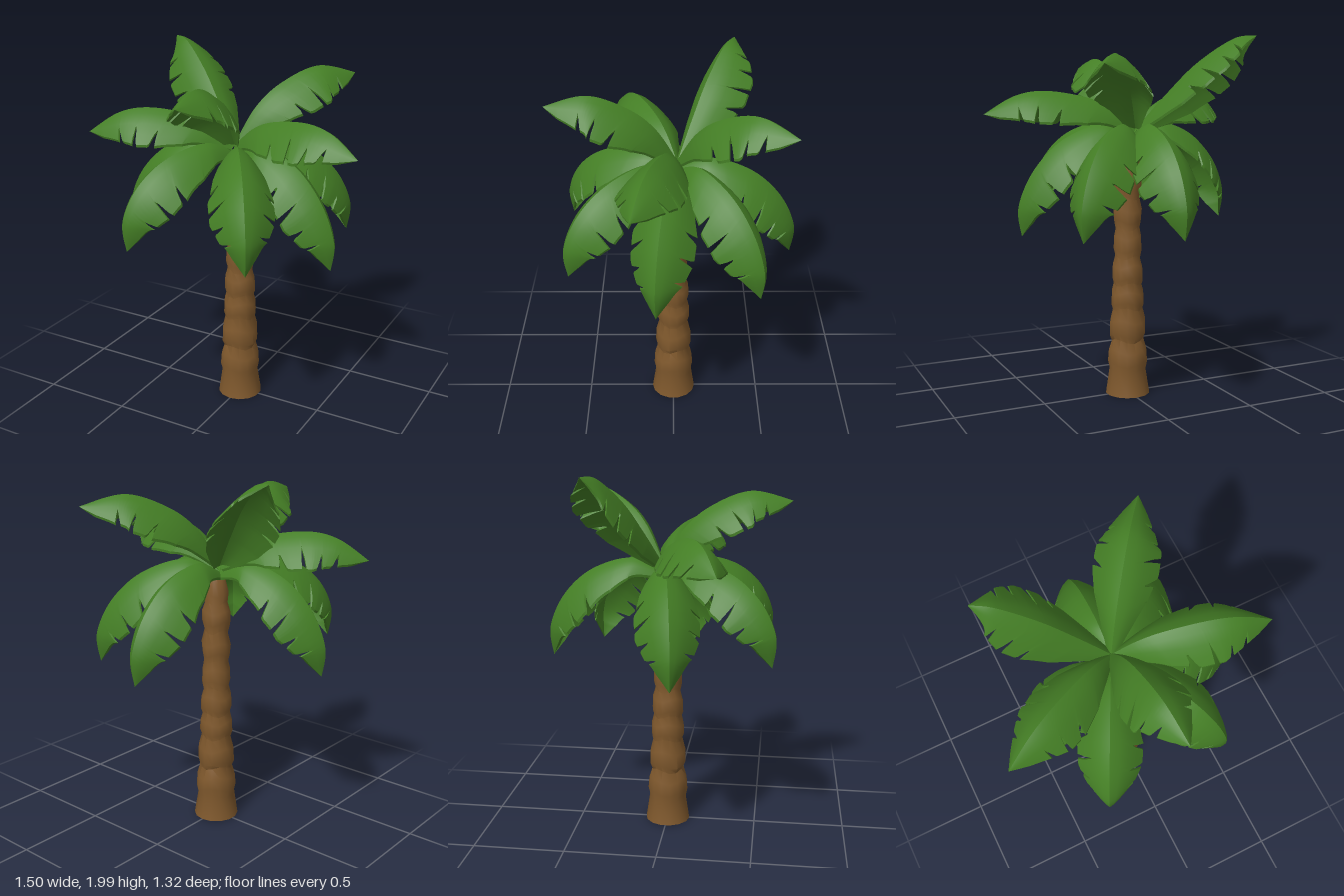
import * as THREE from 'three';
import { toCreasedNormals } from 'three/addons/utils/BufferGeometryUtils.js';

const leafGreen = new THREE.MeshStandardMaterial({ color: 0x447e25 });
const barkBrown = new THREE.MeshStandardMaterial({ color: 0x80592d });
leafGreen.name = 'leafGreen';
barkBrown.name = 'barkBrown';

const ROOT = new THREE.Vector3(-0.04, 0, -0.02);

// Midrib profiles: distance from the crown, height
const RISING = [[0, 1.5], [0.17, 1.68], [0.35, 1.85], [0.56, 1.98], [0.69, 1.995]];
const ARCHED = [[0, 1.51], [0.11, 1.69], [0.25, 1.81], [0.46, 1.89], [0.68, 1.84]];
const LEVEL = [[0, 1.5], [0.13, 1.61], [0.27, 1.67], [0.48, 1.7], [0.64, 1.67], [0.8, 1.57]];
const DROOPING = [[0, 1.46], [0.17, 1.53], [0.39, 1.46], [0.55, 1.31], [0.635, 1.12], [0.62, 0.96]];

// Half width along the leaf
const WIDTH = [[0, 0.03], [0.12, 0.085], [0.25, 0.135], [0.42, 0.168], [0.6, 0.163],
  [0.77, 0.118], [0.9, 0.06], [1, 0]];
function halfWidth(t) {
  let i = 0;
  while (i < WIDTH.length - 2 && t > WIDTH[i + 1][0]) i++;
  const [t0, w0] = WIDTH[i], [t1, w1] = WIDTH[i + 1];
  return THREE.MathUtils.lerp(w0, w1, (t - t0) / (t1 - t0));
}

// Slits cut into each edge, given as positions along the leaf
const SLITS = { left: [0.44, 0.6, 0.75], right: [0.37, 0.52, 0.67, 0.8] };
function reach(t, slits) {
  let r = 1;
  slits.forEach((p, i) => {
    r = Math.min(r, 1 - (0.38 + 0.12 * (i % 2)) * Math.max(0, 1 - Math.abs(t - p) / 0.02));
  });
  return r;
}

// Leaf: folded cross-sections swept along an arching midrib; roll lifts one edge
function leafGeometry(profile, tipX, tipZ, tipLift, roll = 0) {
  const out = new THREE.Vector3(tipX, 0, tipZ).sub(ROOT);
  const length = out.length();
  out.normalize();
  const up = new THREE.Vector3(0, 1, 0);
  const level = out.clone().cross(up);
  const tipR = profile[profile.length - 1][0];
  const rib = new THREE.SplineCurve(profile.map(([r, y]) =>
    new THREE.Vector2(r / tipR * length, y + tipLift * (r / tipR) ** 2)));

  const ROWS = 96;
  const across = [-1, -0.8, -0.55, -0.28, 0, 0.28, 0.55, 0.8, 1];
  const ring = [...across.map(s => [s, 0]), ...across.slice().reverse().map(s => [s, 0.014])];
  const n = ring.length;
  const pos = [], index = [];
  for (let i = 0; i <= ROWS; i++) {
    const t = i / ROWS;
    const w = halfWidth(t);
    for (const [s, depth] of ring) {
      const limit = reach(t, s < 0 ? SLITS.left : SLITS.right);
      const u = Math.min(Math.abs(s), limit - 0.02 * (1 - Math.abs(s)));
      // slits slant towards the tip at the edge
      const tt = Math.min(1, t + 0.1 * u * Math.sin(Math.PI * t));
      const p = rib.getPointAt(tt);
      const d = rib.getTangentAt(tt);
      const along = out.clone().multiplyScalar(d.x).addScaledVector(up, d.y);
      const side = level.clone().applyAxisAngle(along, -roll);
      const normal = side.clone().cross(along);
      const v = ROOT.clone().addScaledVector(out, p.x).addScaledVector(up, p.y)
        .addScaledVector(side, Math.sign(s) * u * w)
        .addScaledVector(normal, -0.97 * w * u ** 1.5 - depth * Math.min(1, (1 - t) * 12));
      pos.push(v.x, v.y, v.z);
    }
  }
  for (let i = 0; i < ROWS; i++) {
    for (let j = 0; j < n; j++) {
      const a = i * n + j, b = i * n + (j + 1) % n;
      index.push(a, b, a + n, b, b + n, a + n);
    }
  }
  const geo = new THREE.BufferGeometry();
  geo.setAttribute('position', new THREE.Float32BufferAttribute(pos, 3));
  geo.setIndex(index);
  return toCreasedNormals(geo, 0.6);
}

// Trunk: stacked bulging rings, narrowing upwards
function trunkGeometry() {
  const profile = [
    [0, 0.01], [0.125, 0.01], [0.104, 0.15], [0.113, 0.19], [0.108, 0.26], [0.09, 0.32],
    [0.102, 0.35], [0.1, 0.43], [0.082, 0.5], [0.092, 0.53], [0.09, 0.59], [0.077, 0.64],
    [0.087, 0.67], [0.084, 0.74], [0.07, 0.79], [0.079, 0.83], [0.077, 0.9], [0.067, 0.95],
    [0.075, 0.99], [0.081, 1.05], [0.064, 1.12], [0.077, 1.17], [0.078, 1.23], [0.062, 1.28],
    [0.068, 1.33], [0.05, 1.4], [0.035, 1.45], [0, 1.48],
  ].map(([r, y]) => new THREE.Vector2(r, y));
  const geo = new THREE.LatheGeometry(profile, 14);
  geo.deleteAttribute('normal');
  geo.deleteAttribute('uv');
  // slight unevenness around each ring
  const p = geo.attributes.position;
  for (let i = 0; i < p.count; i++) {
    const x = p.getX(i), y = p.getY(i), z = p.getZ(i);
    const k = y < 0.02 ? 0 : 0.012 * Math.sin(3 * Math.atan2(z, x) + y * 9);
    p.setY(i, y + k);
  }
  return toCreasedNormals(geo, 0.7);
}

export function createModel() {
  const palm = new THREE.Group();
  palm.name = 'palmTree';

  const trunk = new THREE.Mesh(trunkGeometry(), barkBrown);
  trunk.name = 'trunk';
  palm.add(trunk);

  const addLeaves = (name, leaves) => {
    const group = new THREE.Group();
    group.name = name;
    leaves.forEach((spec, i) => {
      const leaf = new THREE.Mesh(leafGeometry(...spec), leafGreen);
      leaf.name = `${name}Leaf${i + 1}`;
      group.add(leaf);
    });
    palm.add(group);
  };

  // Upper crown: five raised leaves
  addLeaves('upper', [
    [RISING, -0.6, -0.34, 0, 0.25],
    [ARCHED, 0.4, -0.6, -0.01],
    [ARCHED, 0.02, 0.66, 0],
    [LEVEL, 0.75, 0.2, 0.01],
    [LEVEL, -0.75, 0.32, -0.01],
  ]);

  // Lower crown: six hanging leaves
  addLeaves('lower', [
    [DROOPING, -0.01, -0.645, 0.01],
    [DROOPING, 0.45, -0.45, 0],
    [DROOPING, 0.585, 0.09, -0.03],
    [DROOPING, 0.33, 0.55, 0.06],
    [DROOPING, -0.35, 0.58, 0.07],
    [DROOPING, -0.64, 0.09, 0.01],
  ]);
  return palm;
}
